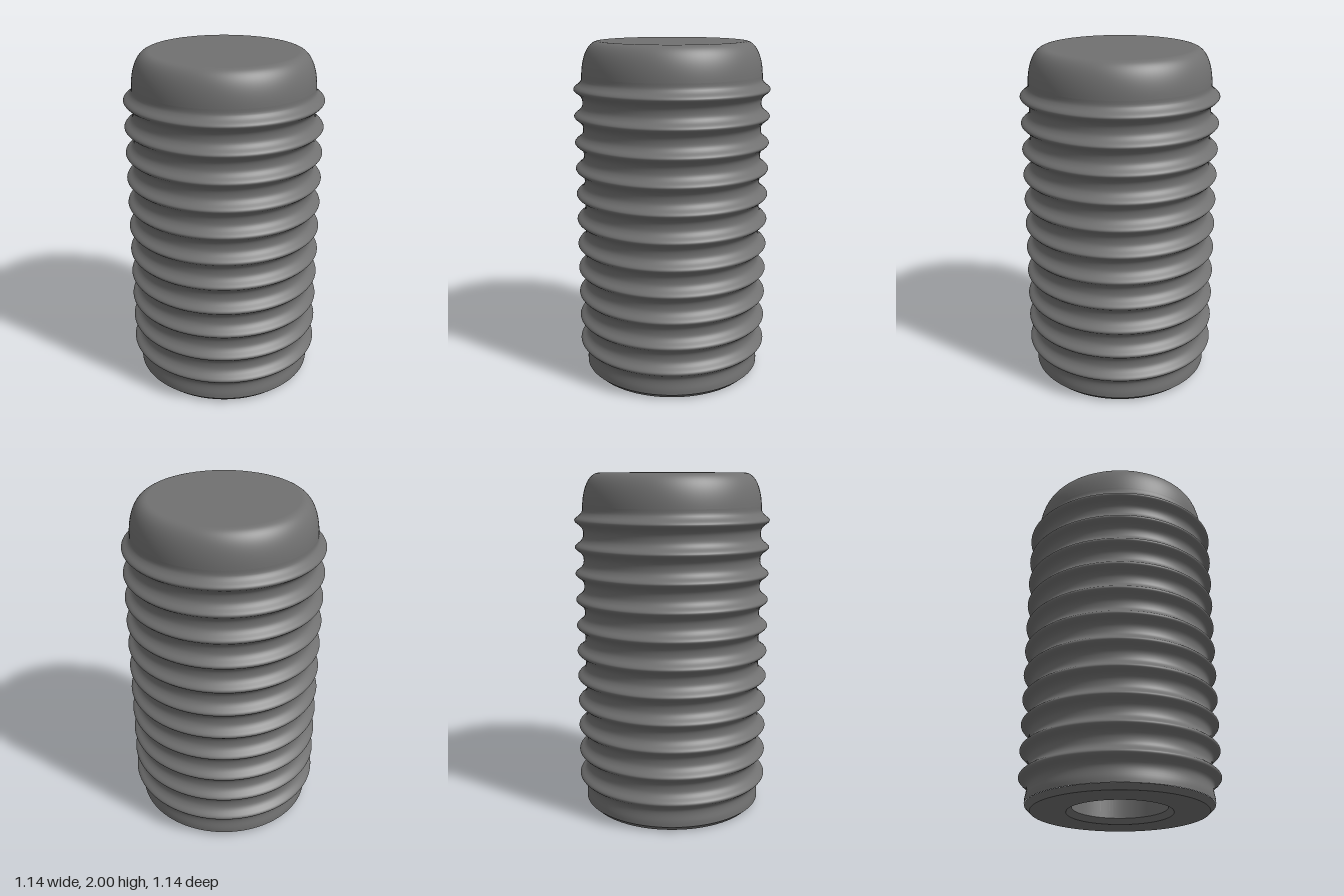
import * as THREE from 'three';

const SEGMENTS = 96;
const RIDGES = 11, PITCH = 0.155, FIRST_RIDGE = 0.18;

const toPoints = (list) => list.map(([r, y]) => new THREE.Vector2(r, y));

export function createModel() {
  const group = new THREE.Group();
  group.name = 'ribbedSleeve';
  const rubber = new THREE.MeshStandardMaterial({ color: 0x707070 });
  rubber.name = 'grey rubber';

  // Each smooth stretch is its own lathe, so the edges between them stay crisp
  const lathe = (name, points) => {
    const mesh = new THREE.Mesh(new THREE.LatheGeometry(points, SEGMENTS), rubber);
    mesh.name = name;
    group.add(mesh);
  };

  // Blind bore and base, followed from the inside outwards
  lathe('boreCeiling', toPoints([[0, 1.7], [0.27, 1.7]]));
  lathe('boreWall', toPoints([[0.27, 1.7], [0.27, 0.03]]));
  lathe('boreChamfer', toPoints([[0.27, 0.03], [0.3, 0]]));
  lathe('baseFace', toPoints([[0.3, 0], [0.5, 0]]));
  lathe('baseChamfer', toPoints([[0.5, 0], [0.53, 0.03]]));

  // Ribbed outer wall: narrow rounded ridges with wide rounded valleys
  const wall = [[0.532, 0.03], [0.531, 0.06], [0.524, 0.1]];
  for (let i = 0; i < RIDGES; i++) {
    const y = FIRST_RIDGE + i * PITCH;
    if (i > 0) wall.push([0.522, y - PITCH / 2]);
    wall.push([0.526, y - 0.052], [0.541, y - 0.031], [0.563, y - 0.014], [0.572, y],
      [0.563, y + 0.014], [0.541, y + 0.031], [0.526, y + 0.052]);
  }
  wall.push([0.524, 1.81]);
  lathe('ribbedWall', new THREE.SplineCurve(toPoints(wall)).getPoints((wall.length - 1) * 3));

  // Rounded shoulder blending into the flat top
  const shoulder = new THREE.CubicBezierCurve(
    ...toPoints([[0.524, 1.81], [0.52, 1.91], [0.485, 2], [0.42, 2]]));
  lathe('shoulder', shoulder.getPoints(20));
  lathe('topFace', toPoints([[0.42, 2], [0, 2]]));

  return group;
}
